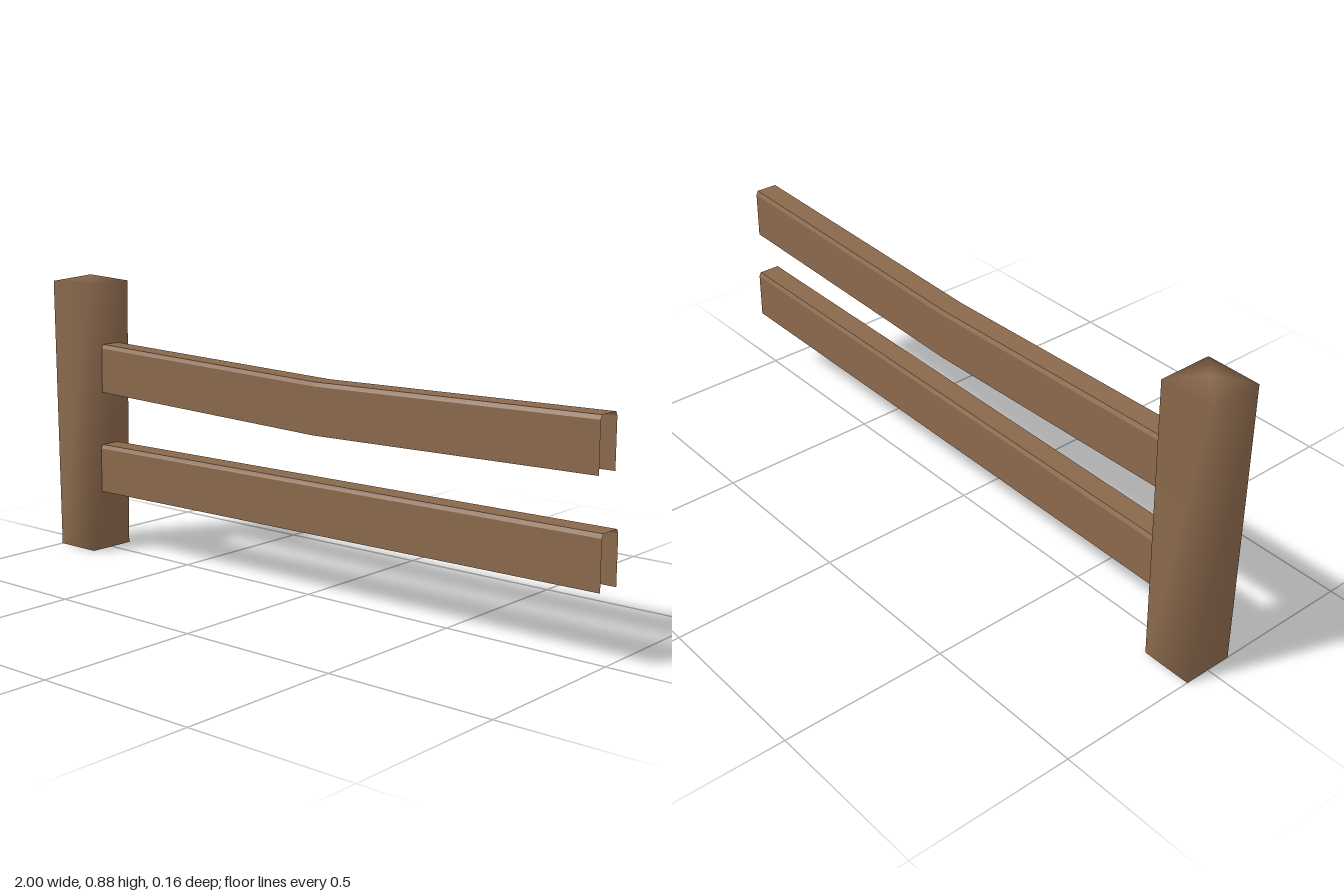
import * as THREE from 'three';

// Skin a list of equal-length cross-sections; closed joins each section's last point to its first.
function loft(sections, closed) {
  const n = sections[0].length, index = [];
  for (let s = 0; s < sections.length - 1; s++) {
    for (let i = 0; i < (closed ? n : n - 1); i++) {
      const a = s * n + i, b = s * n + (i + 1) % n;
      index.push(a, b, b + n, a, b + n, a + n);
    }
  }
  const g = new THREE.BufferGeometry();
  g.setAttribute('position', new THREE.Float32BufferAttribute(sections.flat(2), 3));
  g.setIndex(index);
  return g;
}

// Square outline of the post, counter-clockwise seen from above
function square(y, x0, x1, z) {
  return [[x0, y, z], [x1, y, z], [x1, y, -z], [x0, y, -z]];
}

// Open-bottomed channel with narrow bevels along its top edges
function channel([x, top, z]) {
  const h = 0.039, bevel = 0.006, drop = 0.012, height = 0.153;
  return [
    [x, top - height, z + h], [x, top - drop, z + h], [x, top, z + h - bevel],
    [x, top, z - h + bevel], [x, top - drop, z - h], [x, top - height, z - h],
  ];
}

export function createModel() {
  const group = new THREE.Group();
  const wood = new THREE.MeshStandardMaterial({ color: 0x8b694c, side: THREE.DoubleSide });
  wood.name = 'brown wood';

  // Tapered hollow post with a low pyramid cap, softly shaded
  const postGeometry = loft([
    square(0, -1, -0.847, 0.077),
    square(0.86, -1, -0.835, 0.082),
  ], true);
  const points = Array.from(postGeometry.attributes.position.array);
  points.push(-0.917, 0.88, 0);
  postGeometry.setAttribute('position', new THREE.Float32BufferAttribute(points, 3));
  const faces = Array.from(postGeometry.index.array);
  for (let i = 0; i < 4; i++) faces.push(4 + i, 4 + (i + 1) % 4, 8);
  postGeometry.setIndex(faces);
  postGeometry.computeVertexNormals();
  const post = new THREE.Mesh(postGeometry, wood);
  post.name = 'post';
  group.add(post);

  // Rails: centre-line stations of x, top height and z
  const rails = {
    upperRail: [[-0.9, 0.667, -0.008], [0.05, 0.638, -0.003], [0.987, 0.655, 0.003]],
    lowerRail: [[-0.9, 0.343, 0], [1, 0.355, 0]],
  };
  for (const [name, stations] of Object.entries(rails)) {
    const geometry = loft(stations.map(channel), false).toNonIndexed();
    // Face the skin outwards
    const p = geometry.attributes.position;
    for (let i = 0; i < p.count; i += 3) {
      const b = new THREE.Vector3().fromBufferAttribute(p, i + 1);
      const c = new THREE.Vector3().fromBufferAttribute(p, i + 2);
      p.setXYZ(i + 1, c.x, c.y, c.z);
      p.setXYZ(i + 2, b.x, b.y, b.z);
    }
    geometry.computeVertexNormals();
    const rail = new THREE.Mesh(geometry, wood);
    rail.name = name;
    group.add(rail);
  }
  return group;
}
